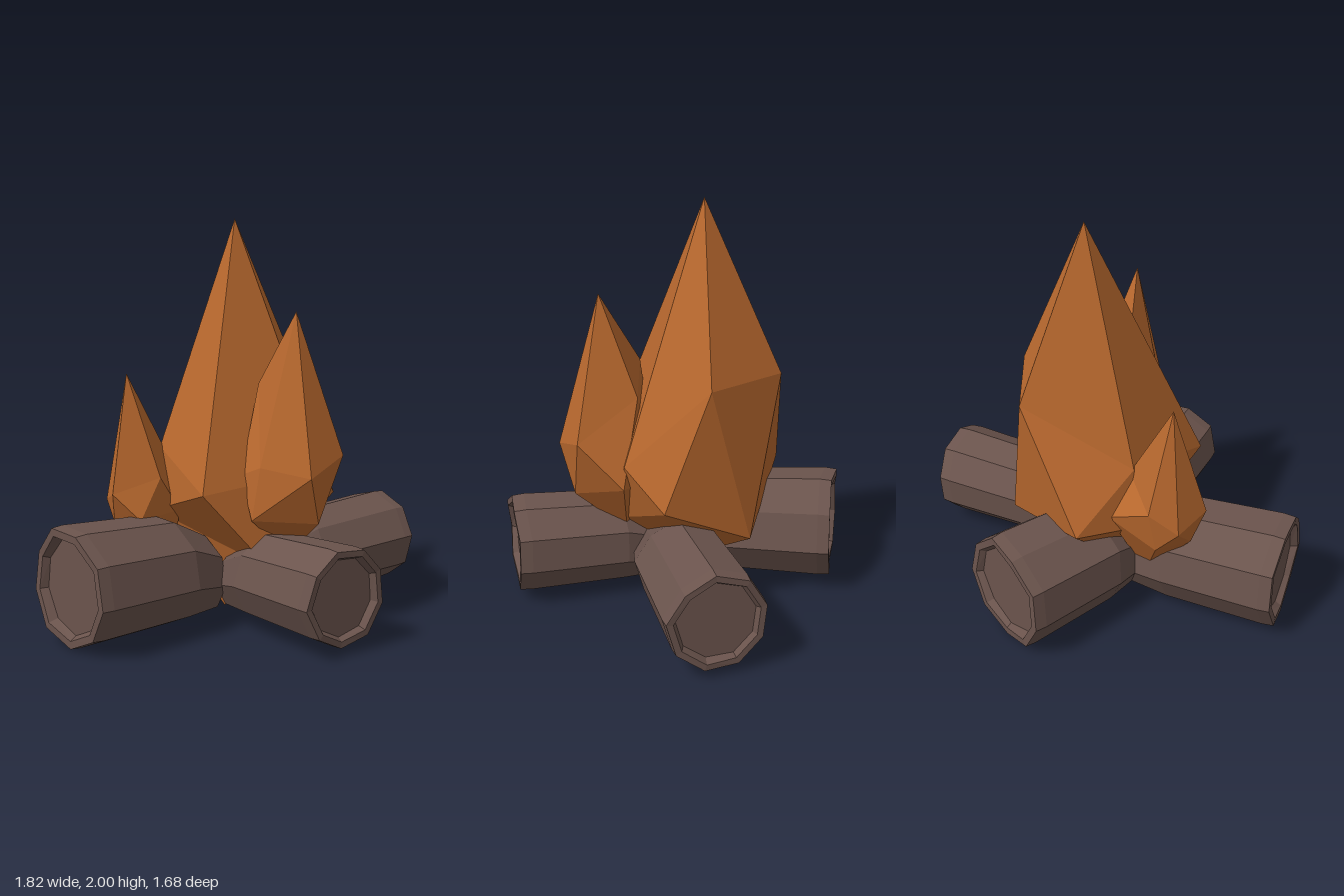
import * as THREE from 'three';

const mat = (color) => new THREE.MeshStandardMaterial({ color, flatShading: true, roughness: 1 });

// Small seeded generator for the uneven bark
function seeded(s) {
  return () => ((s = (s * 16807) % 2147483647) / 2147483647);
}

// Faceted flame: tip, upper ring of five, staggered lower ring of five, base point
function flame(name, tip, upper, lower, base, material) {
  const pos = [];
  const tri = (...corners) => corners.forEach((c) => pos.push(...c));
  for (let i = 0; i < 5; i++) {
    const j = (i + 1) % 5;
    tri(tip, upper[j], upper[i]);
    tri(upper[i], upper[j], lower[i]);
    tri(lower[i], upper[j], lower[j]);
    tri(lower[i], lower[j], base);
  }
  const geo = new THREE.BufferGeometry();
  geo.setAttribute('position', new THREE.Float32BufferAttribute(pos, 3));
  geo.computeVertexNormals();
  const mesh = new THREE.Mesh(geo, material);
  mesh.name = name;
  return mesh;
}

// Level, uneven log with recessed cuts; its inner end is pinched and sags to the ground
function log(name, inner, outer, y, radius, seed, material) {
  const sides = 9;
  const axis = new THREE.Vector3(outer[0] - inner[0], 0, outer[1] - inner[1]);
  const len = axis.length();
  const profile = [
    [0, 0.03], [radius * 0.54, 0.03], [radius * 0.62, 0], [radius * 0.73, 0.01],
    [radius * 0.94, len * 0.28], [radius, len - 0.06],
    [radius * 0.98, len], [radius * 0.85, len], [radius * 0.78, len - 0.035], [0, len - 0.035],
  ].map((p) => new THREE.Vector2(...p));
  const n = profile.length;
  const geo = new THREE.LatheGeometry(profile, sides);
  const p = geo.attributes.position;
  const rnd = seeded(seed);
  const wobble = Array.from({ length: sides }, () => [0.97 + rnd() * 0.06, (rnd() - 0.5) * 0.025]);
  for (let i = 0; i < p.count; i++) {
    const [scale, shift] = wobble[Math.floor(i / n) % sides];
    const edge = i % n > 1 && i % n < n - 2 ? shift : 0;
    p.setXYZ(i, p.getX(i) * scale, p.getY(i) + edge, p.getZ(i) * scale);
  }
  geo.applyQuaternion(new THREE.Quaternion().setFromUnitVectors(
    new THREE.Vector3(0, 1, 0), axis.normalize()));
  for (let i = 0; i < p.count; i++) {
    const sag = i % n < 4 ? 0.065 : i % n === 4 ? 0.015 : 0;
    p.setY(i, p.getY(i) - sag);
  }
  geo.computeVertexNormals();
  const mesh = new THREE.Mesh(geo, material);
  mesh.name = name;
  mesh.position.set(inner[0], y, inner[1]);
  return mesh;
}

export function createModel() {
  const group = new THREE.Group();
  group.name = 'campfire';
  const fire = mat(0xb8682e);
  const bark = mat(0x6b544d);

  // Logs meeting under the fire
  group.add(
    log('frontLeftSideLog', [0.05, 0.05], [0.587, 0.582], 0.275, 0.245, 11, bark),
    log('backLeftSideLog', [0.13, -0.05], [0.74, -0.688], 0.272, 0.245, 29, bark),
    log('frontRightSideLog', [-0.17, 0.06], [-0.7, 0.657], 0.293, 0.293, 47, bark),
    log('backRightSideLog', [-0.14, -0.02], [-0.417, -0.718], 0.293, 0.288, 83, bark),
  );

  // Tall middle flame
  group.add(flame('mainFlame', [-0.02, 2, -0.16],
    [[0.3, 1.17, -0.39], [0.45, 0.76, 0], [-0.1, 0.7, 0.43], [-0.39, 0.85, -0.04], [-0.14, 1.16, -0.53]],
    [[0.49, 0.59, -0.25], [0.2, 0.32, 0.28], [-0.42, 0.52, -0.03], [-0.47, 0.57, -0.36], [0.13, 0.38, -0.52]],
    [-0.05, 0.04, 0.02], fire));

  // Medium flame on the left side
  group.add(flame('leftFlame', [0.32, 1.56, 0.22],
    [[0.31, 1.07, 0.01], [0.55, 0.87, 0.2], [0.41, 0.79, 0.41], [0.16, 0.82, 0.32], [0.13, 1.2, 0.11]],
    [[0.47, 0.65, -0.01], [0.44, 0.55, 0.3], [0.12, 0.56, 0.32], [0.06, 0.77, 0.25], [0.2, 0.65, -0.03]],
    [0.28, 0.34, 0.1], fire));

  // Small flame on the right side, leaning into the middle one
  group.add(flame('rightFlame', [-0.53, 1.24, 0.1],
    [[-0.36, 0.82, -0.05], [-0.35, 0.73, 0.17], [-0.57, 0.66, 0.27], [-0.64, 0.6, 0.1], [-0.57, 0.7, -0.03]],
    [[-0.27, 0.55, 0.08], [-0.43, 0.53, 0.27], [-0.58, 0.5, 0.19], [-0.57, 0.48, 0.01], [-0.42, 0.62, -0.18]],
    [-0.33, 0.15, 0.05], fire));

  return group;
}
